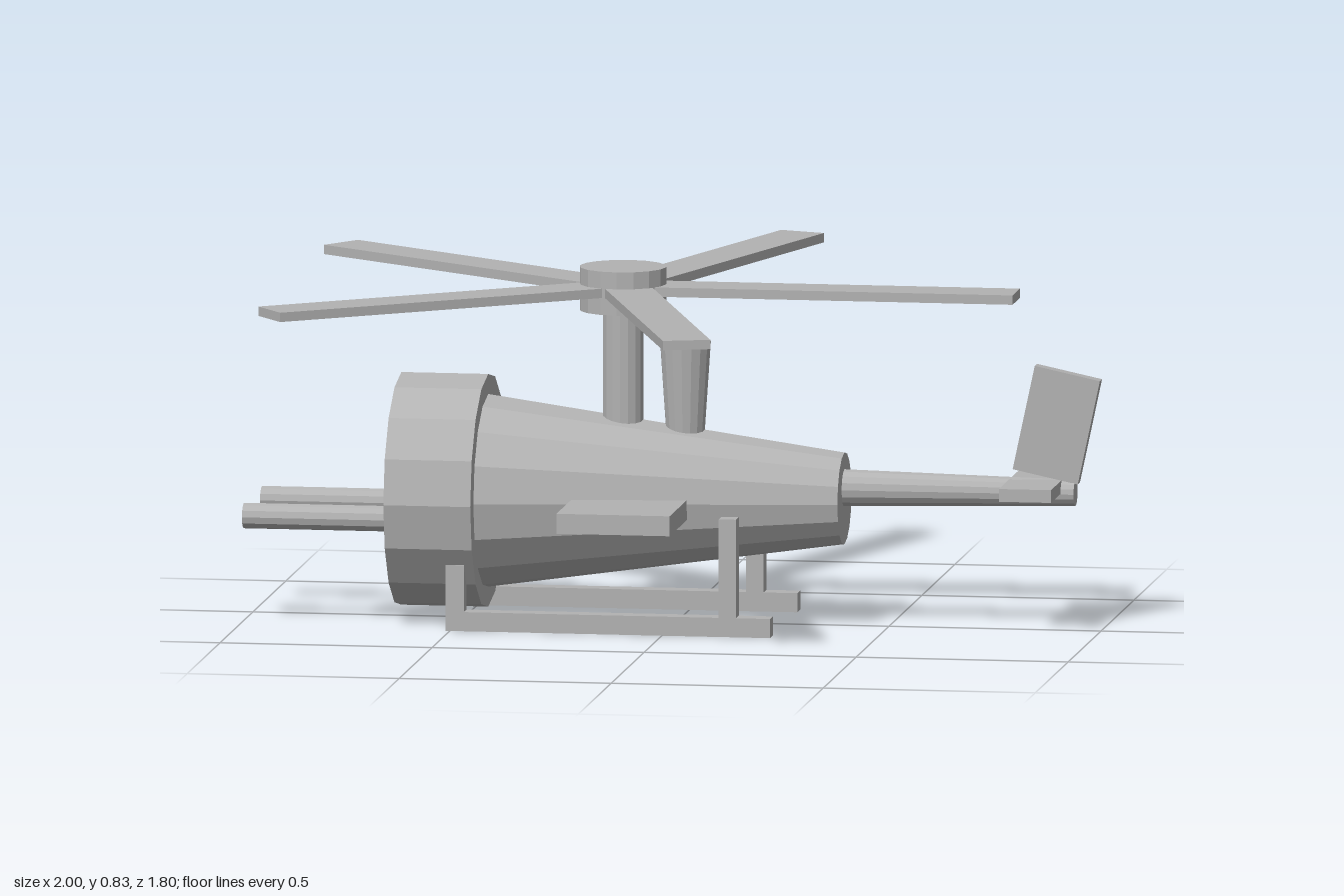
import * as THREE from 'three';

export function createModel() {
  const model = new THREE.Group();
  model.name = 'helicopter';
  const grey = new THREE.MeshStandardMaterial({ color: 0xb2b2b2, flatShading: true });
  grey.name = 'light grey';

  function add(name, geometry, x, y, z, parent = model) {
    const mesh = new THREE.Mesh(geometry, grey);
    mesh.name = name;
    mesh.position.set(x, y, z);
    parent.add(mesh);
    return mesh;
  }
  // Box given by its extents along each axis
  const box = (name, x0, x1, y0, y1, z0, z1) =>
    add(name, new THREE.BoxGeometry(x1 - x0, y1 - y0, z1 - z0),
      (x0 + x1) / 2, (y0 + y1) / 2, (z0 + z1) / 2);
  // Tapered tube lying along x, radius r0 at x0 and r1 at x1
  const tubeX = (name, x0, x1, r0, r1, y, z, sides) =>
    add(name, new THREE.CylinderGeometry(r0, r1, x1 - x0, sides).rotateZ(Math.PI / 2),
      (x0 + x1) / 2, y, z);
  // Upright tapered tube
  const tubeY = (name, y0, y1, r0, r1, x, sides) =>
    add(name, new THREE.CylinderGeometry(r1, r0, y1 - y0, sides), x, (y0 + y1) / 2, 0);

  // Fuselage
  tubeX('nose', -0.65, -0.445, 0.274, 0.274, 0.302, 0, 16);
  tubeX('body', -0.46, 0.395, 0.229, 0.108, 0.302, 0, 16);
  tubeX('tailBoom', 0.38, 0.94, 0.044, 0.031, 0.327, 0, 16);

  // Mast and exhaust stack
  tubeY('mast', 0.4, 0.74, 0.048, 0.048, -0.127, 16);
  tubeY('exhaustStack', 0.4, 0.665, 0.042, 0.06, 0.02, 16);

  // Rotor with five blades
  tubeY('rotorHub', 0.735, 0.837, 0.102, 0.102, -0.127, 16);
  const rotor = new THREE.Group();
  rotor.name = 'rotor';
  rotor.position.set(-0.127, 0.786, 0);
  model.add(rotor);
  for (let i = 0; i < 5; i++) {
    const arm = new THREE.Group();
    arm.name = 'bladeArm';
    arm.rotation.y = (i * Math.PI * 2) / 5;
    add('blade', new THREE.BoxGeometry(0.927, 0.022, 0.112), 0.4635, 0, 0, arm);
    rotor.add(arm);
  }

  // Stub wings
  box('wing', -0.22, 0.047, 0.265, 0.312, -0.415, 0.415);

  // Guns and landing skids on both sides
  for (const s of [-1, 1]) {
    tubeX('gun', -1, -0.6, 0.03, 0.03, 0.25, s * 0.137, 12);
    const z0 = s * 0.209 - 0.0215, z1 = s * 0.209 + 0.0215;
    box('skidRail', -0.51, 0.255, 0.003, 0.048, z0, z1);
    box('frontStrut', -0.51, -0.467, 0.04, 0.158, z0, z1);
    box('rearStrut', 0.134, 0.175, 0.04, 0.28, z0, z1);
  }

  // Tail surfaces
  box('tailplane', 0.786, 0.909, 0.328, 0.358, -0.174, 0.174);
  const fin = add('tailFin', new THREE.BoxGeometry(0.157, 0.25, 0.034), 0.897, 0.488, 0);
  fin.rotation.z = -0.21;

  return model;
}
